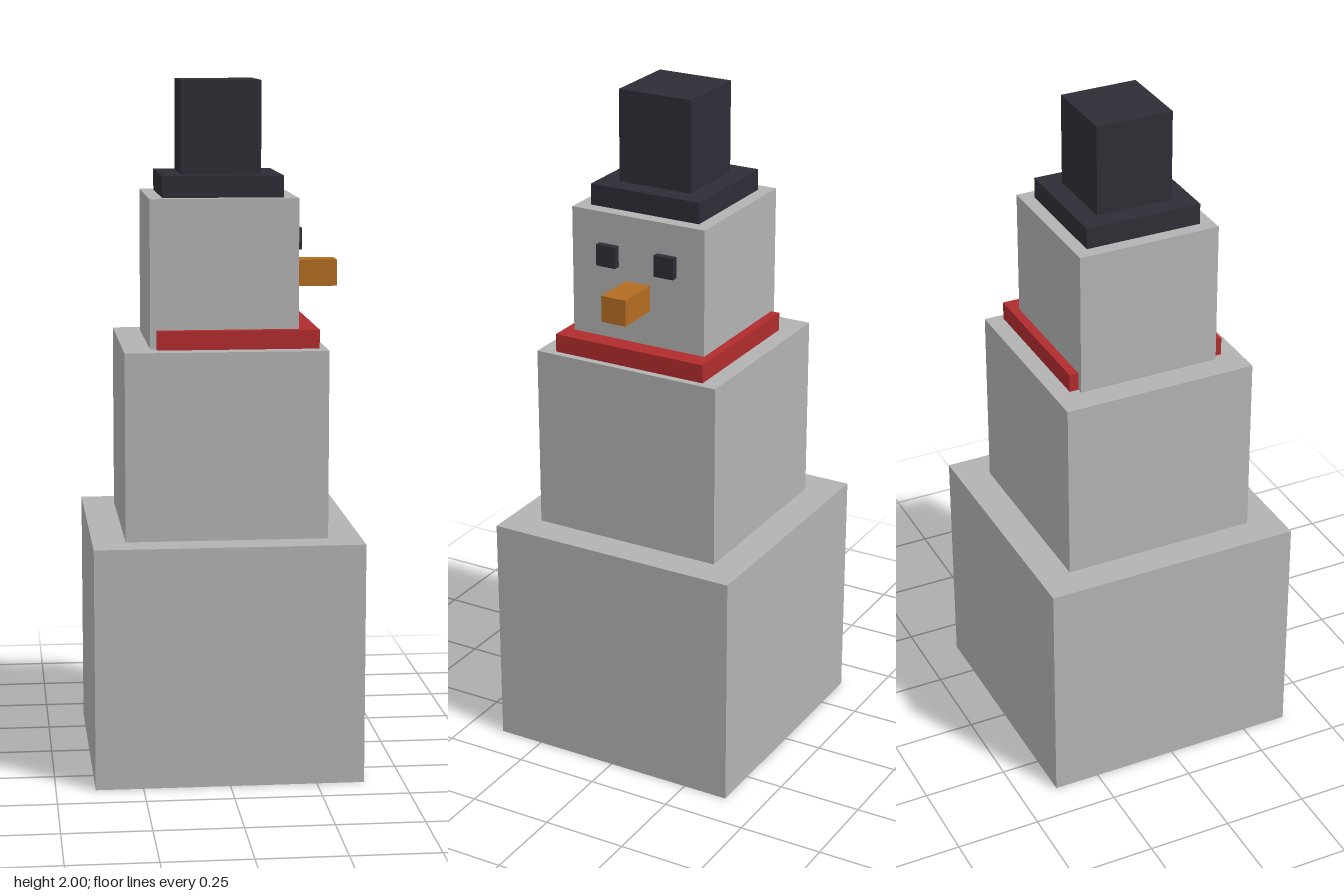
import * as THREE from 'three';

const makeMaterial = (name, color) => {
  const m = new THREE.MeshStandardMaterial({ color, side: THREE.DoubleSide });
  m.name = name;
  return m;
};

// Box between two corners, leaving out the listed sides
// (0 +x, 1 -x, 2 +y, 3 -y, 4 +z, 5 -z)
function openBox(name, material, [x0, y0, z0], [x1, y1, z1], omit = [3]) {
  const geometry = new THREE.BoxGeometry(x1 - x0, y1 - y0, z1 - z0);
  const index = Array.from(geometry.index.array);
  geometry.setIndex(index.filter((_, i) => !omit.includes(Math.floor(i / 6))));
  geometry.clearGroups();
  const mesh = new THREE.Mesh(geometry, material);
  mesh.name = name;
  mesh.position.set((x0 + x1) / 2, (y0 + y1) / 2, (z0 + z1) / 2);
  return mesh;
}

export function createModel() {
  const snow = makeMaterial('snow grey', 0xb2b2b2);
  const coal = makeMaterial('coal black', 0x2d2d36);
  const red = makeMaterial('scarf red', 0xb02b2d);
  const orange = makeMaterial('carrot orange', 0xb36c22);

  const model = new THREE.Group();
  model.name = 'snowman';

  // Stacked square blocks: half width, bottom, top
  const blocks = [
    ['base', snow, 0.387, 0, 0.7],
    ['torso', snow, 0.291, 0.7, 1.243],
    ['head', snow, 0.213, 1.243, 1.67],
    ['hatBrim', coal, 0.174, 1.67, 1.732],
    ['hatCrown', coal, 0.115, 1.732, 2],
  ];
  for (const [name, material, r, y0, y1] of blocks) {
    model.add(openBox(name, material, [-r, y0, -r], [r, y1, r]));
  }

  // Scarf, shifted toward the face
  model.add(openBox('scarf', red, [-0.195, 1.243, -0.24], [0.27, 1.297, 0.24]));

  // Face on the +x side; the sides against the head are left open
  model.add(openBox('nose', orange, [0.213, 1.4, -0.039], [0.348, 1.477, 0.039], [1, 3]));
  for (const [name, z] of [['leftEye', -0.093], ['rightEye', 0.093]]) {
    model.add(openBox(name, coal, [0.213, 1.515, z - 0.031], [0.233, 1.578, z + 0.031], [1, 3]));
  }

  return model;
}
